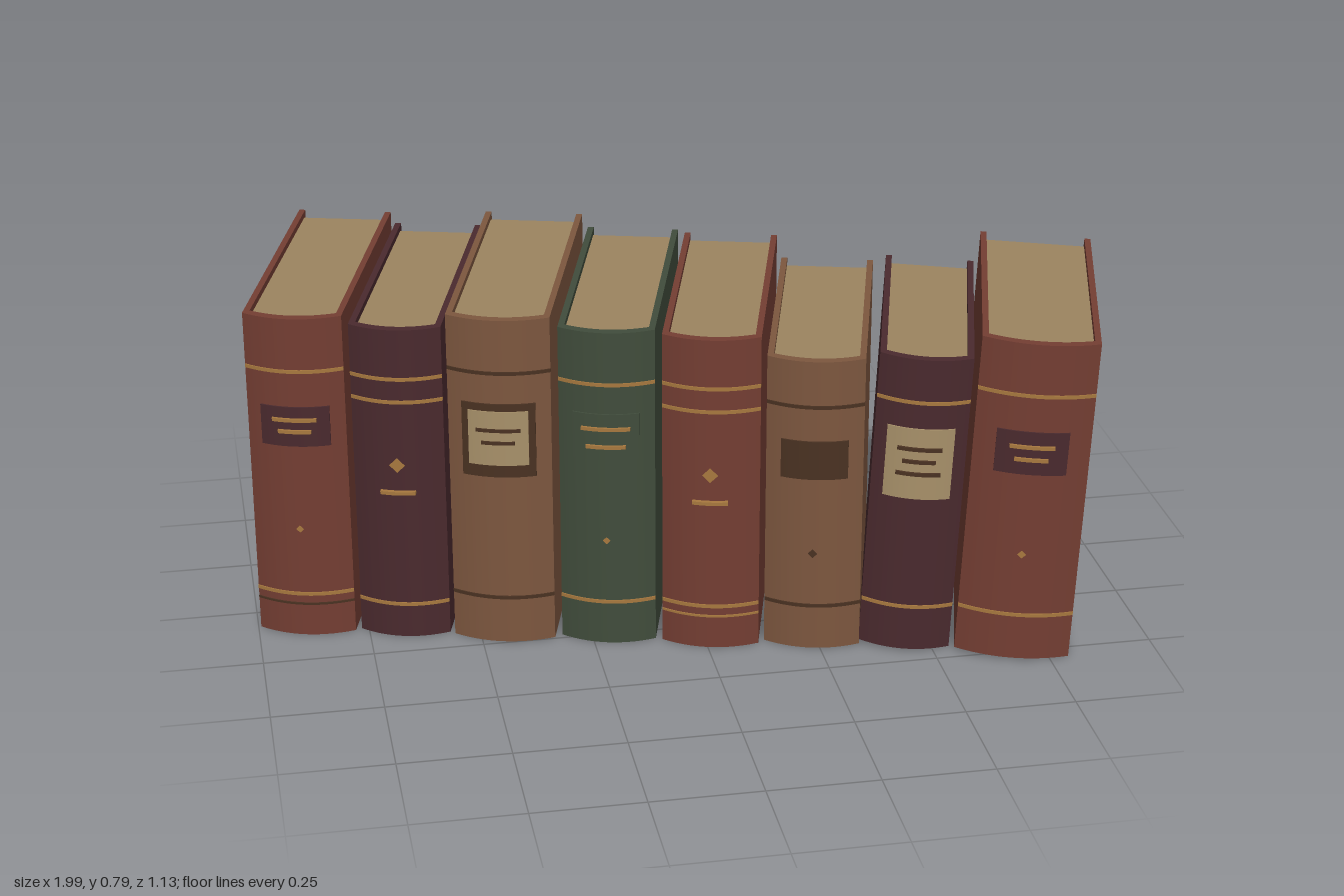
import * as THREE from 'three';
import { toCreasedNormals } from 'three/addons/utils/BufferGeometryUtils.js';

const material = (name, color) => {
  const m = new THREE.MeshStandardMaterial({ color });
  m.name = name;
  return m;
};

const red = material('redLeather', 0x743e33);
const plum = material('plumLeather', 0x4a2a2e);
const tan = material('tanLeather', 0x7d573f);
const green = material('greenCloth', 0x414d3c);
const paper = material('paper', 0x9c8560);
const gold = material('gold', 0xa8793f);
const cream = material('creamLabel', 0xa8916a);
const dark = material('darkBrown', 0x4a3222);

const SAG = 0.03;     // how far the spine bulges
const COVER = 0.014;  // board thickness

function add(parent, name, geometry, mat, x = 0, y = 0, z = 0) {
  const mesh = new THREE.Mesh(geometry, mat);
  mesh.name = name;
  mesh.position.set(x, y, z);
  parent.add(mesh);
  return mesh;
}

// Slab that follows the rounded spine: x from x0 to x1, y0 to y1,
// between offsets t0 and t1 from the spine surface
function spineSlab(width, edge, x0, x1, y0, y1, t0, t1) {
  const steps = 14;
  const bulge = (x) => edge + SAG * (1 - (2 * x / width) ** 2);
  const points = [];
  for (let i = 0; i <= steps; i++) {
    const x = x0 + (x1 - x0) * i / steps;
    points.push(new THREE.Vector2(x, -bulge(x) - t1));
  }
  for (let i = steps; i >= 0; i--) {
    const x = x0 + (x1 - x0) * i / steps;
    points.push(new THREE.Vector2(x, -bulge(x) - t0));
  }
  const geometry = new THREE.ExtrudeGeometry(new THREE.Shape(points), { depth: y1 - y0, bevelEnabled: false });
  geometry.rotateX(-Math.PI / 2);
  geometry.translate(0, y0, 0);
  return toCreasedNormals(geometry, 0.6);
}

function makeBook({ from, to, h, reach, mat, lean = 0, bands = [], labels = [], lines = [], diamond }) {
  const book = new THREE.Group();
  book.name = 'book';
  const width = to - from;
  const back = -(reach - 0.01);
  const edge = reach + 0.01 - SAG;
  const body = new THREE.Group();
  body.name = 'bookBody';
  body.position.x = -width / 2;

  // Two boards
  const boardDepth = edge - 0.01 - back;
  for (const side of [-1, 1]) {
    add(body, 'cover', new THREE.BoxGeometry(COVER, h, boardDepth), mat,
      side * (width - COVER) / 2, h / 2, back + boardDepth / 2);
  }

  // Page block, set in from the boards
  const pageBack = back + 0.015;
  const pageDepth = edge - 0.012 - pageBack;
  add(body, 'pages', new THREE.BoxGeometry(width - 2 * COVER, h - 0.027, pageDepth), paper,
    0, h / 2 - 0.001, pageBack + pageDepth / 2);

  // Rounded spine
  add(body, 'spine', spineSlab(width, edge, -width / 2, width / 2, 0, h, -0.022, 0), mat);

  // Bands across the whole spine
  for (const [y, bandMat, size = 0.008] of bands) {
    add(body, 'spineBand', spineSlab(width, edge, -width / 2, width / 2, y - size / 2, y + size / 2, -0.002, 0.003), bandMat);
  }
  // Label plates
  labels.forEach(([y0, y1, w, labelMat], i) => {
    add(body, 'label', spineSlab(width, edge, -w / 2, w / 2, y0, y1, 0, 0.004 + 0.003 * i), labelMat);
  });
  // Short rules
  for (const [y, w, lineMat] of lines) {
    add(body, 'rule', spineSlab(width, edge, -w / 2, w / 2, y - 0.004, y + 0.004, 0, 0.01), lineMat);
  }
  // Small diamond ornament
  if (diamond) {
    const [y, r, diamondMat] = diamond;
    add(body, 'diamond', new THREE.CircleGeometry(r, 4), diamondMat, 0, y, edge + SAG + 0.003);
  }

  // Lean about the right lower edge
  book.add(body);
  book.position.x = to;
  book.rotation.z = -lean;
  return book;
}

export function createModel() {
  const row = new THREE.Group();
  row.name = 'bookRow';
  const books = [
    { from: -0.942, to: -0.721, h: 0.78, reach: 0.345, mat: red,
      bands: [[0.655, gold], [0.105, gold], [0.08, dark, 0.005]],
      labels: [[0.475, 0.57, 0.155, plum]],
      lines: [[0.54, 0.1, gold], [0.512, 0.075, gold]], diamond: [0.27, 0.009, gold] },
    { from: -0.709, to: -0.503, h: 0.757, reach: 0.335, mat: plum,
      bands: [[0.64, gold], [0.585, gold], [0.083, gold]],
      lines: [[0.365, 0.08, gold]], diamond: [0.432, 0.018, gold] },
    { from: -0.491, to: -0.26, h: 0.79, reach: 0.342, mat: tan,
      bands: [[0.665, dark], [0.113, dark]],
      labels: [[0.415, 0.592, 0.165, dark], [0.445, 0.575, 0.135, cream]],
      lines: [[0.53, 0.1, dark], [0.5, 0.075, dark]] },
    { from: -0.245, to: -0.03, h: 0.763, reach: 0.328, mat: green,
      bands: [[0.64, gold], [0.105, gold]],
      labels: [[0.46, 0.57, 0.15, green]],
      lines: [[0.535, 0.11, gold], [0.492, 0.09, gold]], diamond: [0.26, 0.009, gold] },
    { from: -0.014, to: 0.205, h: 0.755, reach: 0.332, mat: red,
      bands: [[0.64, gold], [0.585, gold], [0.105, gold], [0.08, gold, 0.005]],
      lines: [[0.365, 0.08, gold]], diamond: [0.432, 0.018, gold] },
    { from: 0.217, to: 0.434, h: 0.705, reach: 0.316, mat: tan,
      bands: [[0.597, dark], [0.108, dark]],
      labels: [[0.423, 0.515, 0.15, dark]], diamond: [0.24, 0.011, dark] },
    { from: 0.432, to: 0.638, h: 0.712, reach: 0.312, mat: plum, lean: 0.045,
      bands: [[0.61, gold], [0.108, gold]],
      labels: [[0.378, 0.548, 0.15, cream]],
      lines: [[0.5, 0.1, dark], [0.47, 0.075, dark], [0.44, 0.1, dark]] },
    { from: 0.65, to: 0.908, h: 0.766, reach: 0.338, mat: red, lean: 0.045,
      bands: [[0.645, gold], [0.11, gold]],
      labels: [[0.458, 0.56, 0.16, plum]],
      lines: [[0.525, 0.1, gold], [0.495, 0.075, gold]], diamond: [0.262, 0.01, gold] },
  ];
  for (const spec of books) row.add(makeBook(spec));

  // The whole row stands turned on the shelf
  row.rotation.y = -Math.PI / 12;
  const model = new THREE.Group();
  model.name = 'rowOfBooks';
  model.add(row);
  return model;
}
